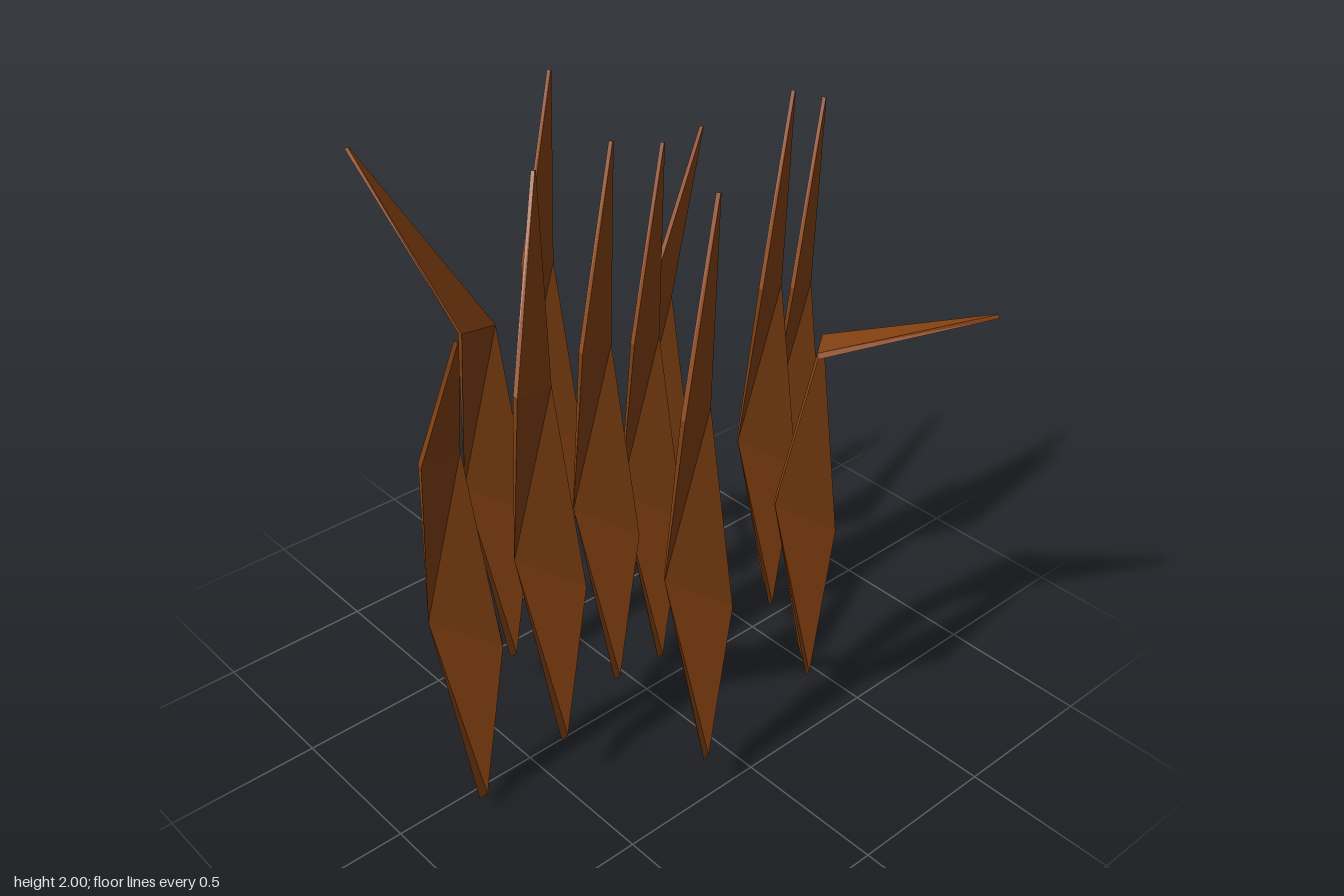
import * as THREE from 'three';

const v = (x, y, z) => new THREE.Vector3(x, y, z);
const normalOf = (a, b, c) => b.clone().sub(a).cross(c.clone().sub(a)).normalize();

// Common blade: root block, then left/right edge points of belly and elbow
const ROOT = [v(0.05, 0.145, -0.51), v(0.1, 0.11, -0.54), v(0.12, 0.2, -0.6), v(0.07, 0.23, -0.57)];
const BELLY = [v(0.01, 0.77, -0.65), v(0.21, 0.62, -0.567)];
const ELBOW = [v(-0.077, 1.43, -0.48), v(0.126, 1.34, -0.595)];
const TIP = v(0.133, 1.98, -0.583);

// Offset of each blade, and its own tip where the top is bent over
const BLADES = [
  { at: [0, 0, 0] },
  { at: [0.67, -0.11, 0.507] },
  { at: [-0.2, -0.01, 0.52] },
  { at: [-0.26, 0.02, 1.01] },
  { at: [0.06, -0.11, 0.443] },
  { at: [0.467, -0.02, 0.567] },
  { at: [-0.817, -0.08, 0.605], tip: [-0.885, 1.805, 0.325] },
  { at: [-0.39, -0.005, 0.207], tip: [-0.505, 1.867, -0.725] },
  { at: [-0.56, 0.065, 0.69], tip: [-0.293, 1.93, -0.123] },
  { at: [0.265, -0.11, 0.275], tip: [0.718, 1.66, -0.53] },
  { at: [0.28, -0.005, 0.925], tip: [0.715, 1.457, 0.72], elbowLeft: [0.245, 1.385, 0.457] },
];

// Four-cornered sections joined into a flat-faced solid
function loftBlade(sections) {
  const pos = [];
  const tri = (...pts) => pts.forEach((p) => pos.push(p.x, p.y, p.z));
  for (let i = 0; i < sections.length - 1; i++) {
    const lo = sections[i], hi = sections[i + 1];
    for (let j = 0; j < 4; j++) {
      const k = (j + 1) % 4;
      // the diagonal turns over from the root part to the upper parts
      if ((i === 0) === (j !== 2)) {
        tri(lo[j], lo[k], hi[j]);
        tri(lo[k], hi[k], hi[j]);
      } else {
        tri(lo[j], lo[k], hi[k]);
        tri(lo[j], hi[k], hi[j]);
      }
    }
  }
  const [a, b, c, d] = sections[0];
  tri(a, d, c);
  tri(a, c, b);
  const [e, f, g, h] = sections[sections.length - 1];
  tri(e, f, g);
  tri(e, g, h);
  const geo = new THREE.BufferGeometry();
  geo.setAttribute('position', new THREE.Float32BufferAttribute(pos, 3));
  geo.computeVertexNormals();
  return geo;
}

function bladeGeometry({ at, tip, elbowLeft }) {
  const off = v(...at);
  const moved = (list) => list.map((p) => p.clone().add(off));
  const root = moved(ROOT), belly = moved(BELLY), elbow = moved(ELBOW);
  if (elbowLeft) elbow[0].set(...elbowLeft);
  const end = tip ? v(...tip) : TIP.clone().add(off);

  // Thickness is laid behind the front face, mitred at the elbow
  const midN = normalOf(belly[0], belly[1], elbow[0]);
  const topN = normalOf(elbow[0], elbow[1], end);
  const elbowN = midN.clone().add(topN).normalize();
  const thicken = ([l, r], n, t) =>
    [l, r, r.clone().addScaledVector(n, -t), l.clone().addScaledVector(n, -t)];
  const endLeft = end.clone().add(elbow[0].clone().sub(elbow[1]).multiplyScalar(0.03));

  return loftBlade([
    root,
    thicken(belly, midN, 0.016),
    thicken(elbow, elbowN, 0.018),
    thicken([endLeft, end], topN, 0.012),
  ]);
}

export function createModel() {
  const model = new THREE.Group();
  model.name = 'bladeCluster';
  const brown = new THREE.MeshStandardMaterial({
    color: 0x8b4513, flatShading: true, side: THREE.DoubleSide,
  });
  BLADES.forEach((spec, i) => {
    const blade = new THREE.Mesh(bladeGeometry(spec), brown);
    blade.name = `${spec.tip ? 'bentBlade' : 'uprightBlade'}${i + 1}`;
    model.add(blade);
  });
  return model;
}
